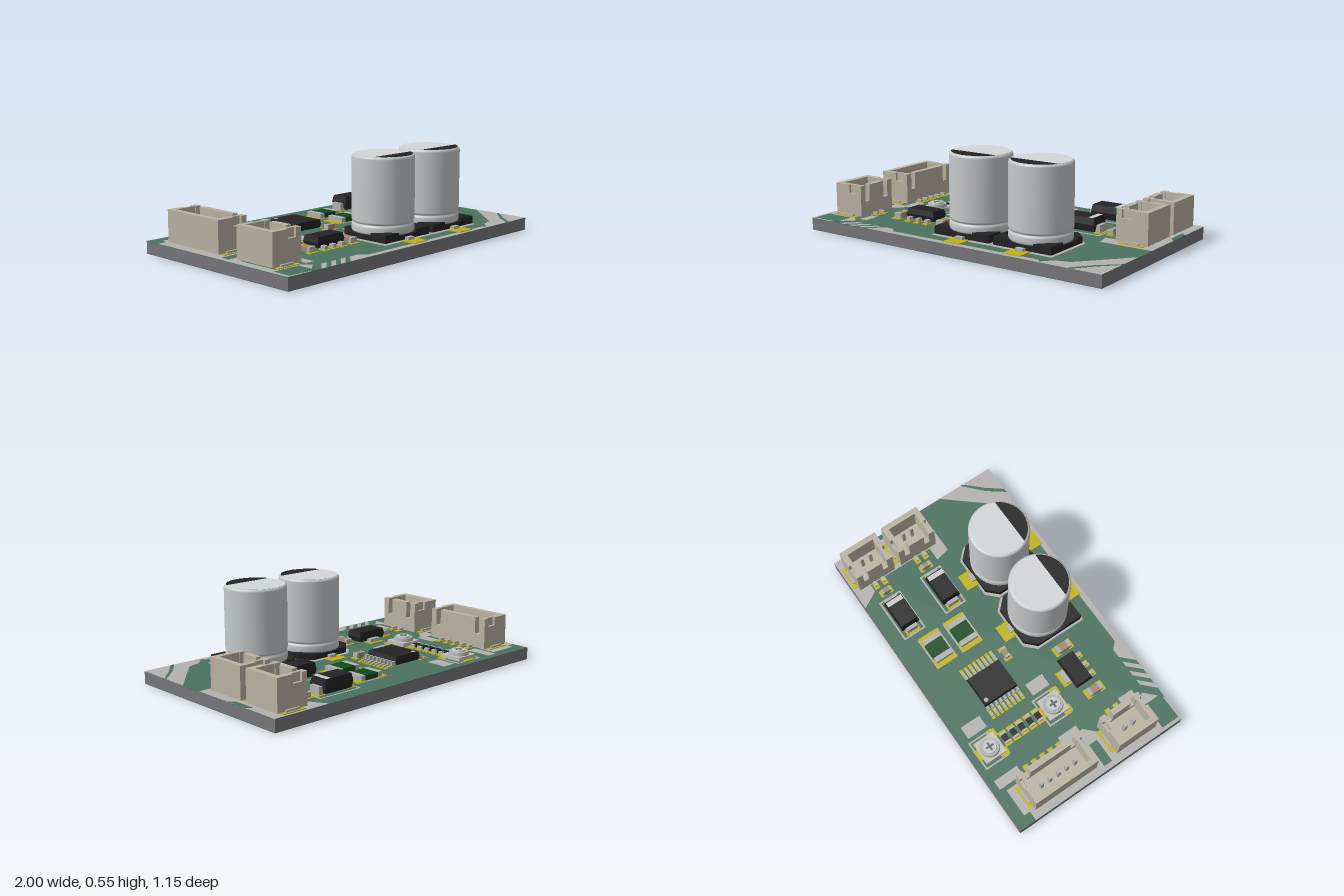
import * as THREE from 'three';

const mats = {};
const mat = (color) => (mats[color] ??= new THREE.MeshStandardMaterial({ color }));
const GREEN = 0x4a7260, SILK = 0xb4b2b0, GOLD = 0xc2b210, BLACK = 0x232325, TAN = 0xbab3a3,
  METAL = 0xc6cacb, STEEL = 0xb0b2b2, EDGE = 0x77767a;
const TOP = 0.073;

function add(parent, name, geo, color, x = 0, y = 0, z = 0) {
  const m = new THREE.Mesh(geo, mat(color));
  m.name = name;
  m.position.set(x, y, z);
  parent.add(m);
  return m;
}
// Box given by its ranges along each axis
const box = (p, name, color, x0, x1, y0, y1, z0, z1) =>
  add(p, name, new THREE.BoxGeometry(x1 - x0, y1 - y0, z1 - z0), color, (x0 + x1) / 2, (y0 + y1) / 2, (z0 + z1) / 2);

// Flat plate from [x, z] points, standing on height y
function plate(p, name, color, pts, y, h) {
  const shape = new THREE.Shape(pts.map(([x, z]) => new THREE.Vector2(x, -z)));
  const geo = new THREE.ExtrudeGeometry(shape, { depth: h, bevelEnabled: false });
  return add(p, name, geo.rotateX(-Math.PI / 2), color, 0, y, 0);
}
const pad = (p, x0, x1, z0, z1) => box(p, 'pad', GOLD, x0, x1, TOP, TOP + 0.006, z0, z1);
const silk = (p, pts) => plate(p, 'silkscreen', SILK, pts, TOP - 0.001, 0.003);
function frame(p, x0, x1, z0, z1, t = 0.01) {
  [[x0, x1, z0, z0 + t], [x0, x1, z1 - t, z1], [x0, x0 + t, z0, z1], [x1 - t, x1, z0, z1]]
    .forEach(([a, b, c, d]) => box(p, 'silkscreenLine', SILK, a, b, TOP, TOP + 0.003, c, d));
}
function group(parent, name, x = 0, y = 0, z = 0) {
  const g = new THREE.Group();
  g.name = name;
  g.position.set(x, y, z);
  parent.add(g);
  return g;
}

// Aluminium can on a chamfered plastic base
function capacitor(root, x, z) {
  const g = group(root, 'capacitor', x, 0, z), r = 0.18, b = 0.188, c = 0.065;
  const outline = (s, k) => [[-s, s], [s, s], [s, -s + k], [s - k, -s], [-s + k, -s], [-s, -s + k]];
  silk(g, outline(b + 0.012, c));
  pad(g, -0.055, 0.055, -0.27, 0.285);
  box(g, 'lead', STEEL, -0.025, 0.025, 0.079, 0.095, -0.215, 0.215);
  plate(g, 'base', BLACK, outline(b, c), 0.08, 0.028);
  for (const s of [-1, 1]) {
    const front = [[s * b, b], [s * b, 0.075], [s * 0.125, 0.135], [s * 0.075, b]];
    plate(g, 'basePost', BLACK, s > 0 ? front : front.reverse(), 0.1, 0.026);
    const rear = [[s * b, -0.123], [s * 0.123, -b], [s * 0.07, -b], [s * 0.13, -0.13], [s * b, -0.06]];
    plate(g, 'basePost', BLACK, s > 0 ? rear : rear.reverse(), 0.1, 0.015);
  }
  const prof = [[0, 0.1], [0.165, 0.1], [0.176, 0.107], [r, 0.118], [r, 0.145], [0.177, 0.152], [0.172, 0.158],
    [0.172, 0.162], [0.177, 0.168], [r, 0.175], [r, 0.53], [0.177, 0.539], [0.17, 0.545], [0.163, 0.545]];
  add(g, 'can', new THREE.LatheGeometry(prof.map((q) => new THREE.Vector2(...q)), 48), METAL);
  add(g, 'canTop', new THREE.CylinderGeometry(0.168, 0.168, 0.004, 48), 0xd3d7d8, 0, 0.5445, 0);
  const a = Math.asin(0.075 / 0.167), seg = new THREE.Shape();
  seg.absarc(0, 0, 0.167, Math.PI + a, 2 * Math.PI - a, false);
  const mark = new THREE.ExtrudeGeometry(seg, { depth: 0.0015, bevelEnabled: false });
  add(g, 'polarityMark', mark.rotateX(-Math.PI / 2), BLACK, 0, 0.5465, 0);
}

// Open plug socket; local x runs from the board edge inward
function connector(root, side, z0, z1, pins) {
  const g = group(root, 'connector', side * 0.952, 0, (z0 + z1) / 2);
  if (side > 0) g.rotation.y = Math.PI;
  const w = 0.198, L = (z1 - z0) / 2, y0 = 0.08, y1 = 0.265, t = 0.035;
  box(g, 'socketFloor', TAN, 0.004, w - 0.004, y0, 0.13, -L + 0.004, L - 0.004);
  box(g, 'outerWall', TAN, 0, 0.035, y0, y1, -L, L);
  // Inner wall with two slots
  box(g, 'innerWallLower', TAN, w - t, w, y0, 0.165, -L, L);
  box(g, 'innerWallMiddle', TAN, w - t, w, 0.165, y1, -L + 0.075, L - 0.075);
  for (const s of [-1, 1]) {
    const span = (n, c, xa, xb, ya, yb, a, b) => box(g, n, c, xa, xb, ya, yb, Math.min(s * a, s * b), Math.max(s * a, s * b));
    span('innerWallCorner', TAN, w - t, w, 0.165, y1, L - 0.04, L);
    // Stepped end wall
    span('endWall', TAN, 0.035, 0.105, y0, y1, L - t, L);
    span('endWallStep', TAN, 0.105, w - t, y0, 0.215, L - t, L);
    span('endWallInner', TAN, 0.105, w - t, 0.215, y1, L - t, L - 0.016);
    span('anchorTab', STEEL, 0.05, 0.14, 0.079, 0.09, L, L + 0.012);
    span('pad', GOLD, 0.02, 0.17, TOP, 0.079, L - 0.03, L + 0.024);
  }
  for (let i = 0; i < pins; i++) {
    const z = (i - (pins - 1) / 2) * 0.058;
    box(g, 'contact', STEEL, 0.075, 0.095, 0.12, 0.225, z - 0.01, z + 0.01);
    box(g, 'pinFoot', STEEL, w - 0.01, w + 0.035, 0.079, 0.092, z - 0.009, z + 0.009);
    pad(g, w - 0.01, w + 0.052, z - 0.017, z + 0.017);
  }
}

// Two-terminal chip part, long axis along x (or z when turned)
function chip(root, name, x, z, len, wid, color, turned = false, h = 0.03) {
  const g = group(root, name, x, 0, z), e = len * 0.2;
  if (turned) g.rotation.y = Math.PI / 2;
  box(g, 'body', color, -len / 2 + e, len / 2 - e, 0.078, 0.078 + h, -wid / 2, wid / 2);
  for (const s of [-1, 1]) {
    const m = s * (len / 2 - e / 2);
    box(g, 'terminal', STEEL, m - e / 2, m + e / 2, 0.078, 0.079 + h, -wid / 2, wid / 2);
    const q = s * (len / 2);
    pad(g, q - e, q + e, -wid / 2 - 0.008, wid / 2 + 0.008);
  }
  return g;
}

// Moulded package with drafted sides
function moulded(p, name, w, d, y0, y1, draft) {
  const geo = new THREE.BoxGeometry(w, y1 - y0, d, 1, 2, 1), pos = geo.attributes.position;
  for (let i = 0; i < pos.count; i++) {
    if (Math.abs(pos.getY(i)) < 1e-4) continue;
    pos.setX(i, pos.getX(i) - Math.sign(pos.getX(i)) * draft);
    pos.setZ(i, pos.getZ(i) - Math.sign(pos.getZ(i)) * draft);
  }
  const flat = geo.toNonIndexed();
  flat.computeVertexNormals();
  return add(p, name, flat, BLACK, 0, (y0 + y1) / 2, 0);
}

function trimmer(root, x, z) {
  const g = group(root, 'trimmer', x, 0, z);
  frame(g, -0.095, 0.095, -0.088, 0.075);
  box(g, 'trimmerBody', 0xc4c1bb, -0.07, 0.07, 0.078, 0.1, -0.068, 0.068);
  add(g, 'trimmerRim', new THREE.CylinderGeometry(0.056, 0.06, 0.02, 32), STEEL, 0, 0.11, 0);
  add(g, 'trimmerDial', new THREE.CylinderGeometry(0.04, 0.042, 0.01, 32), METAL, 0, 0.124, 0);
  box(g, 'slot', 0x66666a, -0.026, 0.026, 0.127, 0.1298, -0.006, 0.006);
  box(g, 'slot', 0x66666a, -0.006, 0.006, 0.127, 0.13, -0.026, 0.026);
  pad(g, -0.035, 0.035, -0.09, -0.05);
  for (const s of [-1, 1]) pad(g, s * 0.065 - 0.025, s * 0.065 + 0.025, 0.03, 0.085);
}

function diode(root, x, z) {
  const g = group(root, 'diode', x, 0, z);
  frame(g, -0.145, 0.145, -0.075, 0.075);
  moulded(g, 'diodeBody', 0.2, 0.124, 0.085, 0.165, 0.008);
  box(g, 'cathodeBand', 0xd0d0d0, 0.055, 0.086, 0.164, 0.1665, -0.053, 0.053);
  for (const s of [-1, 1]) {
    box(g, 'lead', STEEL, s * 0.108 - 0.014, s * 0.108 + 0.014, 0.078, 0.125, -0.036, 0.036);
    pad(g, s * 0.11 - 0.025, s * 0.11 + 0.025, -0.045, 0.045);
  }
}

export function createModel() {
  const root = new THREE.Group();
  root.name = 'circuitBoard';

  // Board core with solder mask on both faces
  box(root, 'boardCore', EDGE, -1, 1, 0.003, 0.07, -0.578, 0.575);
  box(root, 'topMask', GREEN, -1, 1, 0.07, TOP, -0.578, 0.575);
  box(root, 'bottomMask', GREEN, -1, 1, 0, 0.003, -0.578, 0.575);

  // Printed areas around the edges
  silk(root, [[-1, 0.16], [-1, -0.47], [-0.94, -0.47], [-0.94, -0.51], [-0.765, -0.51], [-0.765, -0.4],
    [-0.81, -0.39], [-0.81, 0.02], [-0.72, 0.02], [-0.72, 0.06], [-0.82, 0.16]]);
  silk(root, [[-1, 0.575], [-1, 0.16], [-0.95, 0.16], [-0.95, 0.43], [-0.79, 0.43], [-0.74, 0.48], [-0.84, 0.575]]);
  box(root, 'labelField', GREEN, -0.97, -0.82, TOP, TOP + 0.003, 0.035, 0.09);
  box(root, 'labelField', GREEN, -0.98, -0.81, TOP, TOP + 0.003, 0.45, 0.565);
  for (const x of [-0.77, -0.7, -0.63])
    silk(root, [[x, 0.575], [x + 0.075, 0.5], [x + 0.11, 0.5], [x + 0.035, 0.575]]);
  silk(root, [[-0.56, 0.575], [-0.485, 0.5], [-0.43, 0.5], [-0.39, 0.54], [0.6, 0.54], [0.63, 0.575]]);
  silk(root, [[0.61, 0.575], [0.68, 0.5], [0.76, 0.48], [1, 0.2], [1, 0.575]]);
  plate(root, 'printGap', GREEN, [[0.8, 0.575], [0.88, 0.47], [1, 0.36], [1, 0.375], [0.9, 0.48], [0.825, 0.575]], TOP, 0.003);
  silk(root, [[0.64, -0.578], [1, -0.578], [1, 0.05], [0.68, 0.05], [0.66, -0.04], [0.75, -0.04], [0.75, -0.47], [0.7, -0.47]]);
  plate(root, 'printGap', GREEN, [[0.97, -0.37], [1, -0.34], [1, -0.2], [0.97, -0.23]], TOP, 0.003);
  for (const [x0, x1, z0, z1] of [[-0.74, -0.68, -0.54, -0.38], [-0.74, -0.68, -0.09, 0.04], [-0.74, -0.69, 0.34, 0.44],
    [-0.39, -0.31, -0.52, -0.39], [-0.39, -0.31, -0.06, 0.06]])
    box(root, 'labelField', SILK, x0, x1, TOP, TOP + 0.003, z0, z1);

  capacitor(root, 0.03, 0.268);
  capacitor(root, 0.435, 0.268);

  connector(root, -1, -0.44, -0.01, 5);
  connector(root, -1, 0.138, 0.412, 2);
  connector(root, 1, -0.54, -0.29, 2);
  connector(root, 1, -0.245, 0.01, 2);

  // Driver chip with eight legs on each side
  const ic = group(root, 'driverChip', -0.197, 0, -0.22);
  moulded(ic, 'chipBody', 0.2, 0.23, 0.082, 0.13, 0.006);
  add(ic, 'pinOneDot', new THREE.CylinderGeometry(0.013, 0.013, 0.003, 20), SILK, -0.07, 0.13, -0.09);
  for (let i = 0; i < 8; i++) for (const s of [-1, 1]) {
    const z = (i - 3.5) * 0.03;
    box(ic, 'legFoot', STEEL, s * 0.142 - 0.02, s * 0.142 + 0.02, 0.079, 0.086, z - 0.006, z + 0.006);
    box(ic, 'legShoulder', STEEL, s * 0.11 - 0.015, s * 0.11 + 0.015, 0.082, 0.108, z - 0.006, z + 0.006);
    pad(ic, s * 0.145 - 0.035, s * 0.145 + 0.035, z - 0.01, z + 0.01);
  }

  // Voltage regulator with tab and three legs
  const reg = group(root, 'regulator', -0.407, 0, 0.228);
  moulded(reg, 'regulatorBody', 0.204, 0.115, 0.085, 0.145, 0.007);
  box(reg, 'tab', STEEL, -0.04, 0.04, 0.079, 0.1, -0.085, -0.04);
  pad(reg, -0.05, 0.05, -0.105, -0.04);
  for (const x of [-0.066, 0, 0.066]) {
    box(reg, 'leg', STEEL, x - 0.012, x + 0.012, 0.079, 0.1, 0.04, 0.085);
    pad(reg, x - 0.02, x + 0.02, 0.04, 0.1);
  }

  diode(root, 0.475, -0.418);
  diode(root, 0.475, -0.123);
  trimmer(root, -0.508, -0.45);
  trimmer(root, -0.508, 0);

  // Sense resistors
  for (const z of [-0.36, -0.18]) {
    frame(root, 0.067, 0.285, z - 0.072, z + 0.072);
    chip(root, 'senseResistor', 0.176, z, 0.16, 0.115, 0x0f4a1c, false, 0.028);
  }
  // Small resistors and capacitors
  for (let i = 0; i < 5; i++) chip(root, 'smallResistor', -0.508, -0.34 + i * 0.058, 0.07, 0.032, BLACK, false, 0.018);
  for (const x of [-0.567, -0.248]) chip(root, 'smallCapacitor', x, 0.258, 0.09, 0.048, 0xa08a68, true);
  chip(root, 'smallCapacitor', -0.082, -0.047, 0.065, 0.034, 0xa08a68);
  for (const z of [-0.415, -0.127]) chip(root, 'smallCapacitor', 0.66, z, 0.06, 0.03, 0xa08a68, true);

  return root;
}
